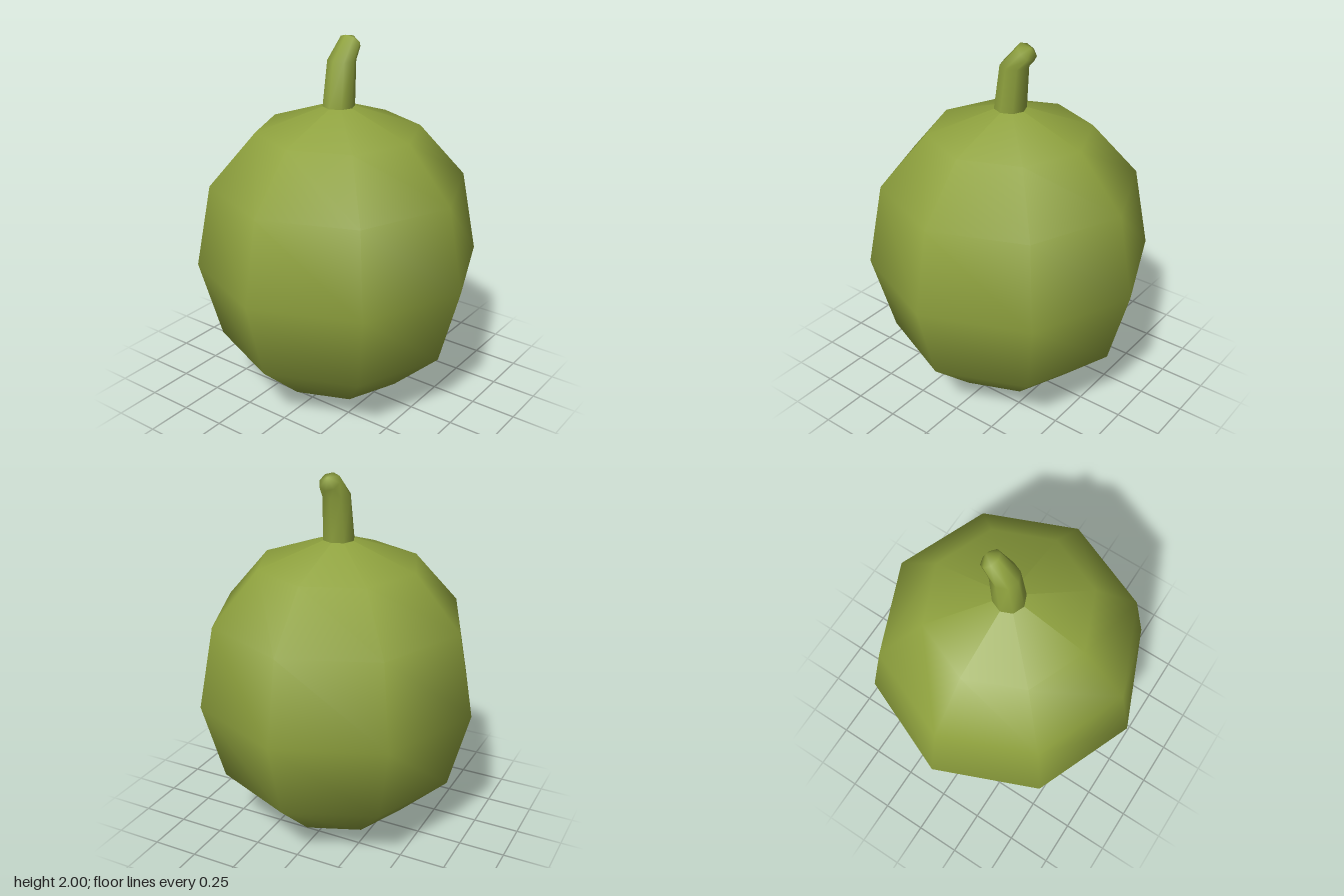
import * as THREE from 'three';

const SIDES = 8;

// Closed-tip tube from rings given as [x, y, tilt, radius], ending at a tip point
function ringTube(rings, tip) {
  const pos = [], idx = [];
  for (const [cx, cy, tilt, r] of rings) {
    for (let i = 0; i < SIDES; i++) {
      const a = (i / SIDES) * Math.PI * 2;
      const u = r * Math.cos(a);
      pos.push(cx + u * Math.cos(tilt), cy - u * Math.sin(tilt), r * Math.sin(a));
    }
  }
  pos.push(...tip);
  const last = rings.length - 1;
  for (let k = 0; k < rings.length; k++) {
    for (let i = 0; i < SIDES; i++) {
      const a = k * SIDES + i, b = k * SIDES + (i + 1) % SIDES;
      if (k < last) idx.push(a, a + SIDES, b, b, a + SIDES, b + SIDES);
      else idx.push(a, rings.length * SIDES, b);
    }
  }
  const geo = new THREE.BufferGeometry();
  geo.setAttribute('position', new THREE.Float32BufferAttribute(pos, 3));
  geo.setIndex(idx);
  geo.computeVertexNormals();
  return geo;
}

export function createModel() {
  const group = new THREE.Group();
  group.name = 'gourd';
  const green = new THREE.MeshStandardMaterial({ color: 0x8fa23e });
  green.name = 'olive green';

  // Egg-shaped, eight-sided fruit
  const profile = [
    [0, 0], [0.385, 0.105], [0.655, 0.36], [0.77, 0.79],
    [0.685, 1.235], [0.435, 1.52], [0, 1.672],
  ].map(([x, y]) => new THREE.Vector2(x, y));
  const fruit = new THREE.Mesh(new THREE.LatheGeometry(profile, SIDES), green);
  fruit.name = 'fruit';
  group.add(fruit);

  // Bent stem leaning to +x, with a blunt tip
  const stem = new THREE.Mesh(ringTube([
    [0, 1.643, 0, 0.085],
    [0.025, 1.878, 0.04, 0.075],
    [0.102, 1.962, 0.73, 0.057],
  ], [0.126, 1.986, 0]), green);
  stem.name = 'stem';
  group.add(stem);

  return group;
}
